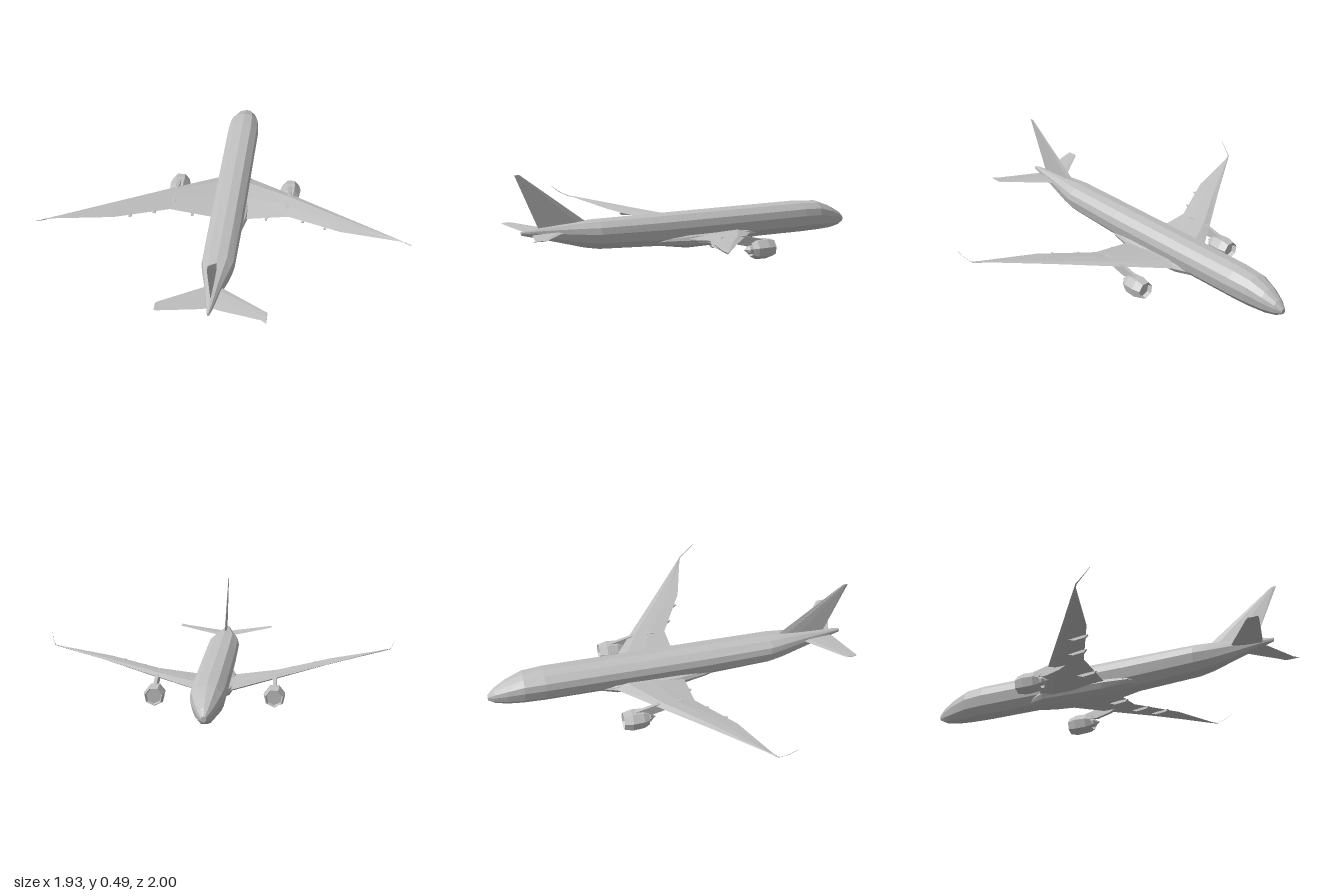
import * as THREE from 'three';

const grey = new THREE.MeshStandardMaterial({ color: 0xc0c0c0, flatShading: true, side: THREE.DoubleSide });
grey.name = 'light grey';

// Skin a list of equal-length rings of [x, y, z] points and cap both ends, faces outward.
function loft(name, rings) {
  const n = rings[0].length, tris = [];
  for (let i = 0; i < rings.length - 1; i++) {
    for (let j = 0; j < n; j++) {
      const k = (j + 1) % n, a = rings[i], b = rings[i + 1];
      tris.push([a[j], a[k], b[k]], [a[j], b[k], b[j]]);
    }
  }
  const first = rings[0], last = rings[rings.length - 1];
  for (let j = 1; j < n - 1; j++) {
    tris.push([first[0], first[j + 1], first[j]], [last[0], last[j], last[j + 1]]);
  }
  // a negative enclosed volume means the rings ran the other way round
  let volume = 0;
  const [a, b, c] = [0, 0, 0].map(() => new THREE.Vector3());
  for (const t of tris) volume += a.set(...t[0]).dot(b.set(...t[1]).cross(c.set(...t[2])));
  if (volume < 0) tris.forEach((t) => t.reverse());
  const geometry = new THREE.BufferGeometry();
  geometry.setAttribute('position', new THREE.Float32BufferAttribute(tris.flat(2), 3));
  geometry.computeVertexNormals();
  const mesh = new THREE.Mesh(geometry, grey);
  mesh.name = name;
  return mesh;
}

// Body cross-section, scaled to a half width and a bottom and top height
const half = [[0, 1], [0.55, 0.91], [0.92, 0.55], [1, 0.1], [0.85, -0.55], [0.45, -1]];
const outline = [...half, ...half.slice(1).reverse().map(([x, y]) => [-x, y])];
const hullRing = ([z, w, bottom, top]) =>
  outline.map(([x, y]) => [x * w, (top + bottom) / 2 + (y * (top - bottom)) / 2, z]);

// Lens-shaped aerofoil between a leading and a trailing edge
const foil = (x, y, lead, trail, thick) => [
  [x, y, lead],
  [x, y + thick * 0.5, lead + (trail - lead) * 0.2],
  [x, y + thick * 0.4, lead + (trail - lead) * 0.55],
  [x, y, trail],
  [x, y - thick * 0.5, lead + (trail - lead) * 0.5],
  [x, y - thick * 0.5, lead + (trail - lead) * 0.2],
];

// Flat plate from a [z, y] outline, centred on x
const plate = (name, x, w, points) =>
  loft(name, [-w / 2, w / 2].map((dx) => points.map(([z, y]) => [x + dx, y, z])));

function engine(s) {
  const group = new THREE.Group();
  group.name = s > 0 ? 'leftEngine' : 'rightEngine';
  const turned = (name, profile) => {
    const geometry = new THREE.LatheGeometry(profile.map((p) => new THREE.Vector2(...p)), 7);
    geometry.rotateX(Math.PI / 2);
    const mesh = new THREE.Mesh(geometry, grey);
    mesh.name = name;
    mesh.position.set(s * 0.31, 0.058, -0.28);
    group.add(mesh);
  };
  // nacelle with a closed fan face and an open rear, then the core
  turned('nacelle', [[0, -0.035], [0.04, -0.035], [0.046, -0.06], [0.057, -0.015], [0.053, 0.045], [0.038, 0.075], [0.032, 0.06], [0.034, 0]]);
  turned('engineCore', [[0, -0.03], [0.028, -0.01], [0.024, 0.085], [0.013, 0.095], [0, 0.115]]);
  group.add(plate('pylon', s * 0.31, 0.018, [[-0.29, 0.105], [-0.16, 0.138], [-0.02, 0.14], [-0.1, 0.1], [-0.18, 0.08], [-0.25, 0.09]]));
  return group;
}

export function createModel() {
  const model = new THREE.Group();
  model.name = 'airliner';

  // Fuselage stations: z, half width, bottom, top
  model.add(loft('fuselage', [
    [-1, 0.012, 0.095, 0.122], [-0.965, 0.034, 0.078, 0.155], [-0.9, 0.058, 0.068, 0.192],
    [-0.81, 0.08, 0.066, 0.226], [-0.7, 0.088, 0.065, 0.234], [0.17, 0.088, 0.067, 0.235],
    [0.54, 0.085, 0.086, 0.235], [0.62, 0.07, 0.1, 0.233], [0.75, 0.042, 0.135, 0.224],
    [0.88, 0.02, 0.17, 0.214], [0.95, 0.006, 0.187, 0.206],
  ].map(hullRing)));

  // Belly fairing between the wing roots
  model.add(loft('bellyFairing', [
    [-0.42, 0.05, 0.064, 0.11], [-0.32, 0.095, 0.055, 0.125], [-0.2, 0.102, 0.046, 0.13],
    [0.03, 0.1, 0.044, 0.13], [0.17, 0.075, 0.064, 0.12], [0.25, 0.04, 0.071, 0.1],
  ].map(hullRing)));

  for (const s of [1, -1]) {
    const side = s > 0 ? 'left' : 'right';
    model.add(loft(side + 'Wing', [
      [0.05, 0.098, -0.36, 0.045, 0.045], [0.1, 0.101, -0.325, 0.045, 0.042],
      [0.32, 0.13, -0.165, 0.04, 0.026], [0.6, 0.165, 0.045, 0.19, 0.014],
      [0.9, 0.199, 0.265, 0.28, 0.006], [0.94, 0.203, 0.295, 0.3, 0.003],
    ].map(([x, ...rest]) => foil(s * x, ...rest))));

    // Slender raked wingtip
    model.add(loft(side + 'Winglet', [
      [0.935, 0.203, 0.288, 0.3, 0.002], [0.955, 0.225, 0.335, 0.342, 0.002], [0.967, 0.258, 0.38, 0.383, 0.001],
    ].map(([x, ...rest]) => foil(s * x, ...rest))));

    // Flap track fairings under the trailing edge
    for (const [x, y, z] of [[0.2, 0.108, 0.03], [0.4, 0.137, 0.07], [0.52, 0.153, 0.135]]) {
      model.add(plate(side + 'FlapFairing', s * x, 0.012,
        [[z - 0.1, y], [z + 0.025, y + 0.002], [z + 0.01, y - 0.012], [z - 0.05, y - 0.018]]));
    }

    // Tailplane, with the left tip set further aft
    const tip = s > 0 ? [[0.255, 0.9, 0.975], [0.283, 0.92, 1]] : [[-0.25, 0.89, 0.958], [-0.263, 0.905, 0.956]];
    model.add(loft(side + 'Tailplane', [
      foil(s * 0.01, 0.185, 0.71, 0.89, 0.012),
      foil(s * 0.04, 0.188, 0.735, 0.905, 0.01),
      ...tip.map(([x, lead, trail], i) => foil(x, 0.206 + i * 0.002, lead, trail, 0.004)),
    ]));

    model.add(engine(s));
  }

  // Fin
  model.add(loft('fin', [
    [0.2, 0.57, 0.85, 0.012], [0.232, 0.6, 0.865, 0.01], [0.495, 0.952, 0.98, 0.004],
  ].map(([y, lead, trail, t]) => foil(0, 0, lead, trail, t).map(([, dx, z]) => [dx, y, z]))));

  return model;
}
